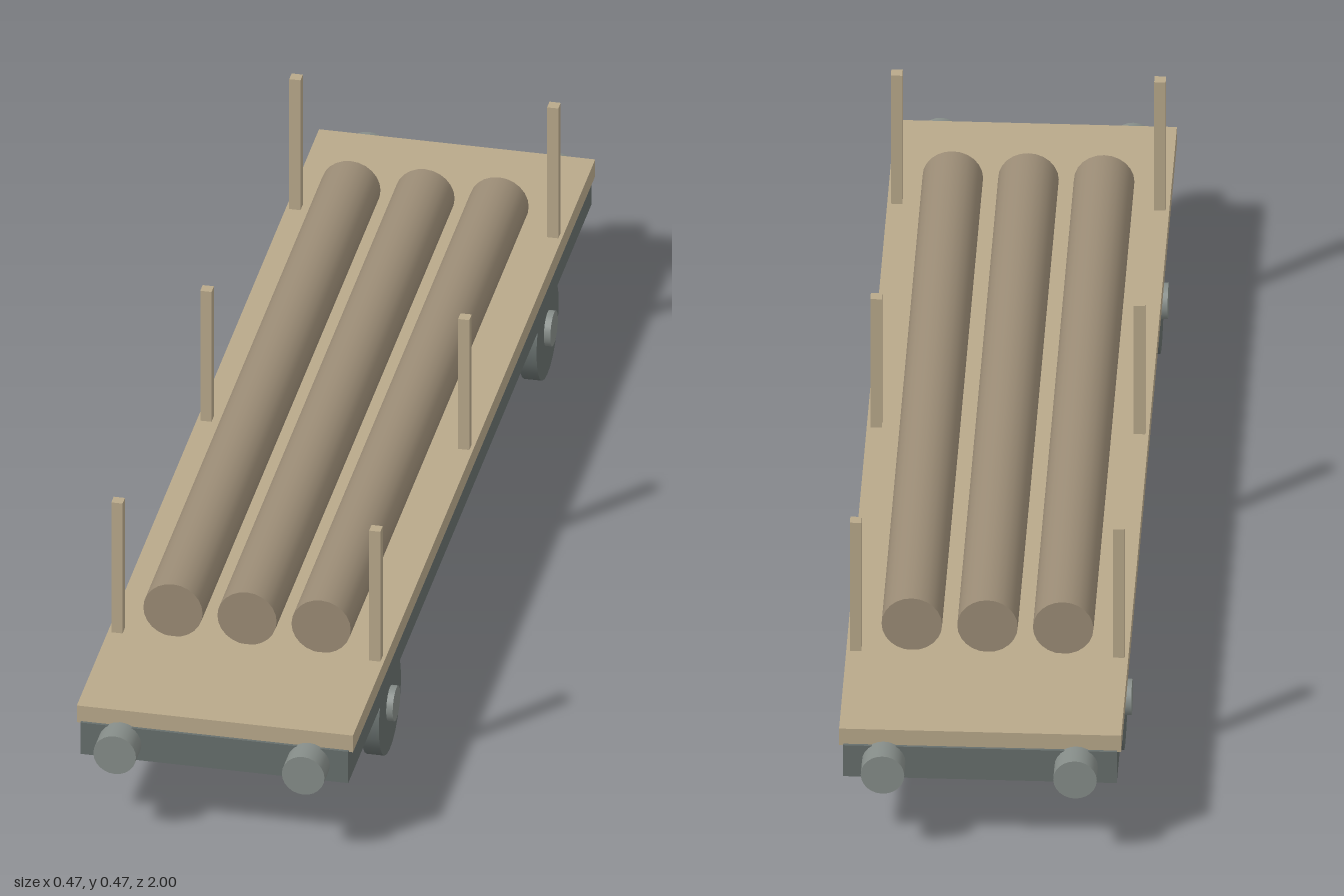
import * as THREE from 'three';

const paint = (color) => new THREE.MeshStandardMaterial({ color });

export function createModel() {
  const wagon = new THREE.Group();
  wagon.name = 'flatWagon';
  const planks = paint(0xb8a88a), bark = paint(0x9a8b75);
  const steel = paint(0x666e6c), buffing = paint(0x858c88);

  const add = (name, geometry, material, x, y, z) => {
    const mesh = new THREE.Mesh(geometry, material);
    mesh.name = name;
    mesh.position.set(x, y, z);
    wagon.add(mesh);
  };
  const rodX = (r, length, sides) => new THREE.CylinderGeometry(r, r, length, sides).rotateZ(Math.PI / 2);
  const rodZ = (r, length, sides) => new THREE.CylinderGeometry(r, r, length, sides).rotateX(Math.PI / 2);

  // Underframe and plank deck
  add('underframe', new THREE.BoxGeometry(0.452, 0.06, 1.916), steel, 0, 0.16, 0);
  add('deck', new THREE.BoxGeometry(0.466, 0.032, 1.906), planks, 0, 0.203, 0);

  // Small block below the middle of the frame
  add('centreBlock', new THREE.BoxGeometry(0.009, 0.009, 0.009), steel, 0, 0.021, 0);

  // Axles with wheels and hubs
  const axle = rodX(0.016, 0.4, 20);
  const wheel = rodX(0.087, 0.03, 24);
  const hub = rodX(0.03, 0.012, 20);
  for (const z of [-0.62, 0.62]) {
    add('axle', axle, steel, 0, 0.088, z);
    for (const side of [-1, 1]) {
      add('wheel', wheel, steel, side * 0.209, 0.087, z);
      add('hub', hub, buffing, side * 0.229, 0.088, z);
    }
  }

  // Buffers at both ends
  const buffer = rodZ(0.036, 0.05, 24);
  for (const end of [-1, 1])
    for (const side of [-1, 1]) add('buffer', buffer, buffing, side * 0.159, 0.16, end * 0.975);

  // Stakes along both sides
  const stake = new THREE.BoxGeometry(0.019, 0.252, 0.019);
  for (const z of [-0.7, 0, 0.7])
    for (const side of [-1, 1]) add('stake', stake, planks, side * 0.2175, 0.342, z);

  // Load of three logs
  const log = rodZ(0.05, 1.4, 24);
  for (const x of [-0.125, 0, 0.125]) add('log', log, bark, x, 0.268, 0);

  return wagon;
}
